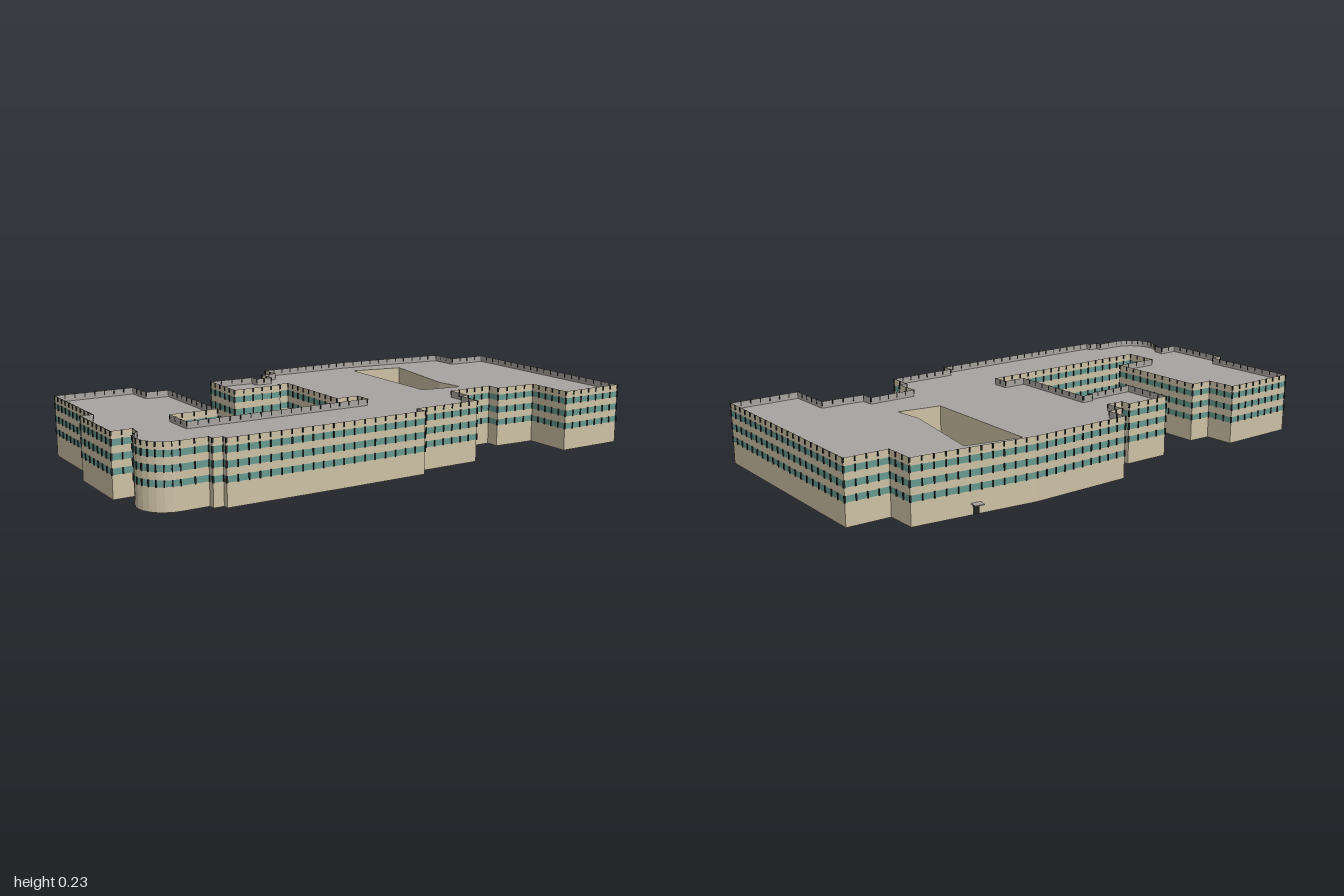
import * as THREE from 'three';
import { mergeGeometries } from 'three/addons/utils/BufferGeometryUtils.js';

const mat = (name, color) => new THREE.MeshStandardMaterial({ name, color, side: THREE.DoubleSide });

const TOP = 0.23, ROOF = 0.205;
const WINDOWS = [[0.083, 0.105], [0.132, 0.155], [0.181, 0.203]];

// Footprint corners (x, z), clockwise seen from above, starting at the back right wing
const arc = [];
for (let i = 0; i <= 10; i++) {
  const a = Math.PI / 2 + (i / 10) * 2.5;
  arc.push([-0.865 + 0.105 * Math.cos(a), 0.335 + 0.105 * Math.sin(a)]);
}
const footprint = [
  [-0.947, -0.467], [-0.636, -0.463], [-0.632, -0.348], [-0.542, -0.342],
  [-0.545, 0.075], [-0.727, 0.072], [-0.727, 0.203], [0, 0.213],
  [0, 0.15], [-0.09, 0.148], [-0.086, -0.215], [-0.13, -0.215],
  [-0.13, -0.2], [-0.332, -0.2], [-0.326, -0.41], [-0.144, -0.403],
  [-0.144, -0.363], [-0.08, -0.358], [-0.08, -0.433], [-0.018, -0.433],
  [-0.018, -0.515], [0.375, -0.511], [0.835, -0.447], [0.835, -0.33],
  [0.997, -0.322], [0.985, 0.514], [0.715, 0.51], [0.715, 0.325],
  [0.545, 0.315], [0.545, 0.262], [0.357, 0.262], [0.357, 0.36],
  [0.325, 0.362], [0.32, 0.458], [0.05, 0.455], [0.05, 0.5],
  [-0.29, 0.497], [-0.727, 0.487], [-0.727, 0.465], [-0.765, 0.465],
  [-0.765, 0.44], ...arc, [-0.92, 0.203], [-0.998, 0.203],
  [-0.995, -0.075], [-0.95, -0.075],
];
const courtyard = [[0.372, -0.428], [0.358, 0.08], [0.524, 0.107], [0.513, -0.01], [0.583, -0.385]];

// Calls fn for each edge of a closed loop with its ends, length and outward normal
function eachEdge(loop, fn) {
  loop.forEach(([ax, az], i) => {
    const [bx, bz] = loop[(i + 1) % loop.length];
    const len = Math.hypot(bx - ax, bz - az);
    fn(ax, az, bx, bz, len, (bz - az) / len, (ax - bx) / len);
  });
}

// Flat-faced wall strip along a loop, optionally shifted inwards
function strip(loop, y0, y1, inset = 0) {
  const pos = [];
  eachEdge(loop, (ax, az, bx, bz, len, nx, nz) => {
    const x = -nx * inset, z = -nz * inset;
    const a = [ax + x, y0, az + z], b = [bx + x, y0, bz + z];
    const c = [bx + x, y1, bz + z], d = [ax + x, y1, az + z];
    if (inset) pos.push(...a, ...b, ...c, ...a, ...c, ...d);
    else pos.push(...a, ...c, ...b, ...a, ...d, ...c);
  });
  const g = new THREE.BufferGeometry();
  g.setAttribute('position', new THREE.Float32BufferAttribute(pos, 3));
  g.computeVertexNormals();
  return g;
}

// Small upright bars spaced along every wall
function bars(loop, y0, y1) {
  const list = [];
  eachEdge(loop, (ax, az, bx, bz, len) => {
    const n = Math.max(1, Math.round(len / 0.041));
    for (let i = 0; i < n; i++) {
      const t = i / n;
      const g = new THREE.BoxGeometry(0.004, y1 - y0, 0.007);
      g.rotateY(-Math.atan2(bz - az, bx - ax));
      g.translate(ax + (bx - ax) * t, (y0 + y1) / 2, az + (bz - az) * t);
      list.push(g);
    }
  });
  return mergeGeometries(list);
}

export function createModel() {
  const stone = mat('tan wall', 0xcdc0a4);
  const glass = mat('teal glass', 0x669990);
  const grey = mat('grey roof', 0xa8a4a0);
  const dark = mat('dark frame', 0x202423);

  const model = new THREE.Group();
  model.name = 'building';
  const add = (name, geometry, material) => {
    const m = new THREE.Mesh(geometry, material);
    m.name = name;
    model.add(m);
    return m;
  };

  // Outer walls: solid bands between three window bands
  let y = 0;
  WINDOWS.forEach(([y0, y1], i) => {
    add(`wallBand${i + 1}`, strip(footprint, y, y0), stone);
    add(`windowBand${i + 1}`, strip(footprint, y0, y1), glass);
    add(`mullions${i + 1}`, bars(footprint, y0 - 0.001, y1 + 0.001), dark);
    y = y1;
  });
  add('parapet', strip(footprint, y, TOP), stone);
  add('parapetLining', strip(footprint, ROOF, TOP, 0.002), grey);
  add('parapetBars', bars(footprint, 0.214, TOP), dark);

  // Courtyard walls, plain
  add('courtyardWalls', strip(courtyard, 0, ROOF), stone);

  // Flat roof with the courtyard opening
  const toShape = (loop) => loop.map(([x, z]) => new THREE.Vector2(x, -z));
  const shape = new THREE.Shape(toShape(footprint));
  shape.holes.push(new THREE.Path(toShape(courtyard)));
  add('roof', new THREE.ShapeGeometry(shape).rotateX(-Math.PI / 2).translate(0, ROOF, 0), grey);

  // Back entrance: door and small canopy
  const entrance = new THREE.Group();
  entrance.name = 'backEntrance';
  entrance.position.set(0.606, 0, -0.481);
  entrance.rotation.y = -0.138;
  model.add(entrance);
  const door = new THREE.Mesh(new THREE.BoxGeometry(0.02, 0.032, 0.006), dark);
  door.name = 'door';
  door.position.set(0, 0.018, 0);
  const canopy = new THREE.Mesh(new THREE.BoxGeometry(0.036, 0.003, 0.03), grey);
  canopy.name = 'canopy';
  canopy.position.set(0, 0.039, -0.012);
  entrance.add(door, canopy);

  return model;
}
